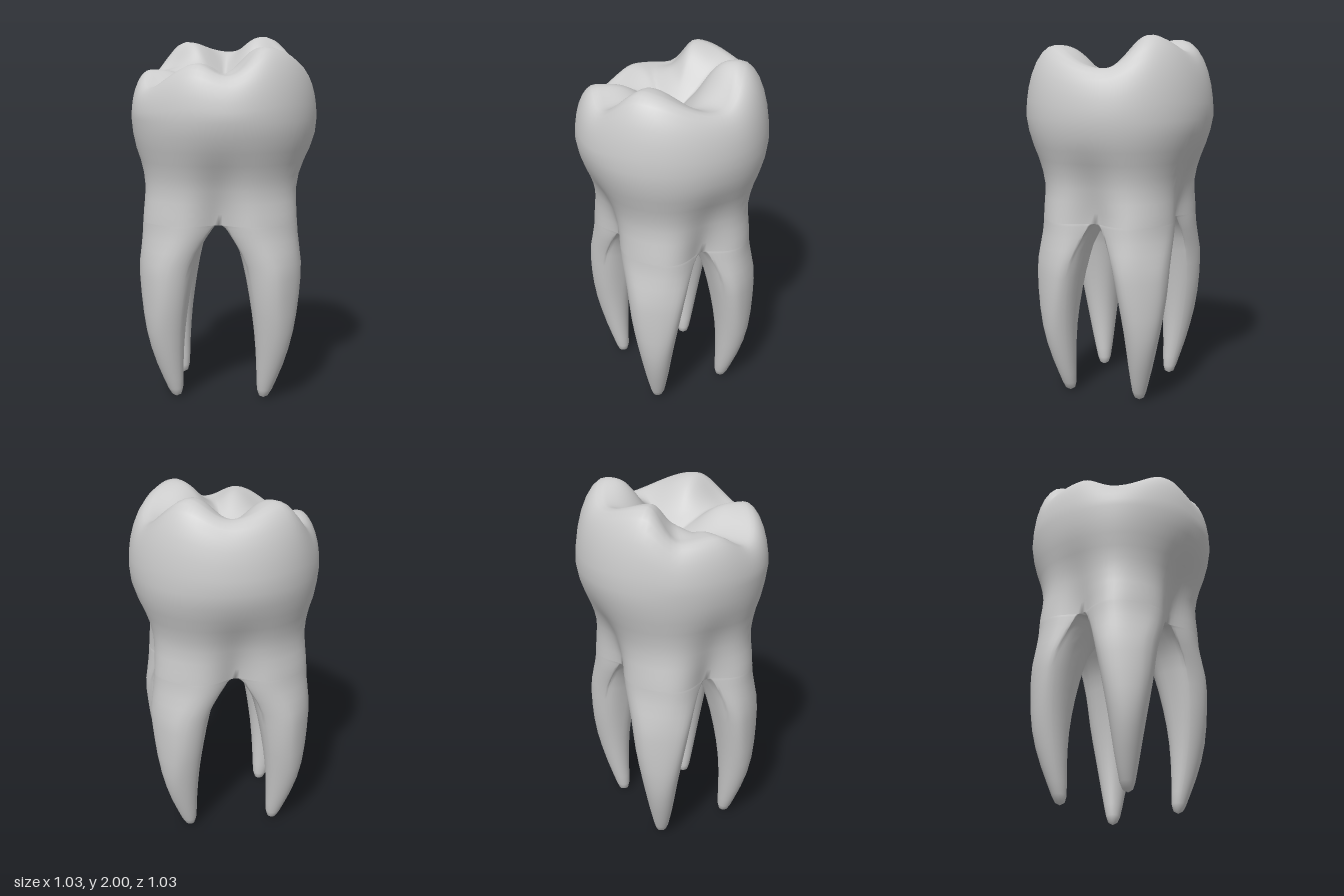
import * as THREE from 'three';
import { mergeVertices } from 'three/addons/utils/BufferGeometryUtils.js';

const Q = 24;              // steps around each quarter of the crown
const N = Q * 4;
const RAD = Math.PI / 180;
const { lerp, smoothstep } = THREE.MathUtils;
const V = (x, y, z) => new THREE.Vector3(x, y, z);

// crown wall, neck upwards: y, half width, half depth, squareness, groove, x shift
const WALL = [
  [1.0, 0.458, 0.396, 2.6, 0.2, -0.014],
  [1.06, 0.452, 0.394, 2.6, 0.17, -0.014],
  [1.12, 0.446, 0.394, 2.5, 0.13, -0.013],
  [1.19, 0.442, 0.398, 2.4, 0.09, -0.012],
  [1.26, 0.448, 0.414, 2.35, 0.06, -0.01],
  [1.33, 0.465, 0.44, 2.25, 0.03, -0.007],
  [1.4, 0.488, 0.469, 2.2, 0.01, -0.004],
  [1.48, 0.506, 0.497, 2.14, 0, 0],
  [1.56, 0.514, 0.515, 2.1, 0, 0],
];

// rim height by angle (0 = left side, 90 = front): cusps and the valleys between
const RIM = [
  [-10, 1.83], [50, 1.945], [85, 1.8], [108, 1.86], [150, 1.73],
  [178, 1.82], [203, 1.81], [229, 1.97], [272, 1.915], [309, 2.0], [350, 1.83],
];

// cusps: x, z, peak height
const PIT = 1.67;
const CUSPS = [
  [0.24, -0.27, 2.0], [-0.24, -0.27, 1.97], [0.25, 0.3, 1.945],
  [-0.12, 0.34, 1.86], [-0.41, 0.02, 1.82],
];

// root limits from the fork to the tip: y, inner x, outer x, inner z, outer z
const ROOT = [
  [0.993, 0.035, 0.445, 0.025, 0.383],
  [0.98, 0.045, 0.445, 0.035, 0.382],
  [0.95, 0.066, 0.446, 0.046, 0.381],
  [0.91, 0.085, 0.449, 0.058, 0.381],
  [0.85, 0.108, 0.456, 0.074, 0.382],
  [0.78, 0.127, 0.462, 0.09, 0.384],
  [0.7, 0.145, 0.459, 0.107, 0.383],
  [0.6, 0.163, 0.447, 0.125, 0.376],
  [0.5, 0.178, 0.43, 0.14, 0.362],
  [0.4, 0.19, 0.408, 0.152, 0.343],
  [0.3, 0.198, 0.382, 0.16, 0.321],
  [0.2, 0.203, 0.351, 0.166, 0.296],
  [0.11, 0.205, 0.316, 0.171, 0.27],
  [0.05, 0.208, 0.291, 0.175, 0.252],
  [0.015, 0.218, 0.27, 0.185, 0.238],
  [0, 0.243, 0.244, 0.211, 0.212],
];

function wallPoint([y, ax, az, n, groove, ox], a) {
  const c = Math.cos(a), s = Math.sin(a);
  let r = (Math.abs(c / ax) ** n + Math.abs(s / az) ** n) ** (-1 / n);
  r *= 1 - groove * Math.cos(2 * a) ** 6;
  return V(ox + r * c, y, r * s);
}

function rimHeight(a) {
  let deg = a / RAD;
  if (deg >= 350) deg -= 360;
  const i = RIM.findIndex((k) => k[0] > deg);
  const [a0, h0] = RIM[i - 1], [a1, h1] = RIM[i];
  const t = (deg - a0) / (a1 - a0);
  return lerp(h0, h1, (1 - Math.cos(Math.PI * t)) / 2);
}

// highest of the cusp hills; fissures form where two hills meet
function hillHeight(x, z) {
  return Math.max(...CUSPS.map(([cx, cz, peak]) => {
    const d = Math.hypot(x - cx, z - cz) / Math.hypot(cx, cz);
    return peak - (peak - PIT) * d ** 1.4;
  }));
}

const ring = (fn) => Array.from({ length: N }, (_, j) => fn((j / N) * 2 * Math.PI));

function crownRings() {
  const rings = WALL.map((row) => ring((a) => wallPoint(row, a)));
  const top = WALL[WALL.length - 1];
  const rimRadius = (h) => 0.35 + (2 - h) * 0.32;
  // shoulder curving over to the rim
  for (let i = 1; i <= 7; i++) {
    const phi = (i / 7) * Math.PI / 2;
    rings.push(ring((a) => {
      const h = rimHeight(a), rho = rimRadius(h), p = wallPoint(top, a);
      const r = lerp(rho, Math.hypot(p.x, p.z), Math.cos(phi));
      return V(r * Math.cos(a), lerp(top[0], h, Math.sin(phi)), r * Math.sin(a));
    }));
  }
  // chewing surface sinking to the central pit
  const steps = 18;
  for (let i = 1; i <= steps; i++) {
    const s = 1 - i / steps;
    rings.push(ring((a) => {
      const h = rimHeight(a), r = rimRadius(h) * s;
      const x = r * Math.cos(a), z = r * Math.sin(a);
      const y = lerp(hillHeight(x, z), h, smoothstep(s, 0.3, 1));
      return V(x, y, z - 0.02 * (1 - s));
    }));
  }
  return rings;
}

function rootRings(q) {
  const start = [], edge = 8, fork = V(-0.014, 1.015, 0);
  const at = (j) => wallPoint(WALL[0], ((j % N) / N) * 2 * Math.PI);
  const from = q * Q, to = from + Q;
  // first section: a quarter of the neck, closed along the fork lines
  for (let j = from; j <= to; j++) start.push(at(j));
  for (let k = 1; k <= edge; k++) start.push(at(to).lerp(fork, k / edge));
  for (let k = edge - 1; k >= 1; k--) start.push(at(from).lerp(fork, k / edge));

  const sx = q === 0 || q === 3 ? 1 : -1, sz = q < 2 ? 1 : -1;
  const angles = start.map((p) => Math.atan2((p.z - sz * 0.18) / 0.18, (p.x + 0.014 - sx * 0.2) / 0.2));
  const rings = [start];
  for (const [y, xi, xo, zi, zo] of ROOT) {
    const u = Math.min((1 - y) / 0.16, 1);
    const arch = Math.sqrt(u * (2 - u));            // rounds the fork between the roots
    const flow = 1 - smoothstep(y, 0.72, 1);        // eases the outside out of the neck
    const power = lerp(1, 0.8, smoothstep(y, 0.2, 0.8));
    const bulge = (t) => Math.sign(t) * Math.abs(t) ** power;
    rings.push(start.map((p, j) => {
      let x = sx * (xi + xo) / 2 + bulge(Math.cos(angles[j])) * (xo - xi) / 2;
      let z = sz * (zi + zo) / 2 + bulge(Math.sin(angles[j])) * (zo - zi) / 2;
      // flatten the outer corner so it stays under the crown
      const r = Math.hypot(x, z);
      const k = r > 0.45 ? (0.45 + 0.05 * Math.tanh((r - 0.45) / 0.05)) / r : 1;
      x = x * k - 0.012;
      z *= k;
      const outside = j < Q ? Math.sqrt(Math.sin((j / Q) * Math.PI)) : 0;
      const w = lerp(arch, flow, outside);
      return V(lerp(p.x, x, w), lerp(p.y, y, Math.min(1, u * 6)), lerp(p.z, z, w));
    }));
  }
  return rings;
}

function skin(out, rings) {
  for (let i = 0; i < rings.length - 1; i++) {
    const lo = rings[i], hi = rings[i + 1], n = lo.length;
    for (let j = 0; j < n; j++) {
      const k = (j + 1) % n;
      for (const p of [lo[j], hi[j], lo[k], lo[k], hi[j], hi[k]]) out.push(p.x, p.y, p.z);
    }
  }
}

export function createModel() {
  const group = new THREE.Group();
  group.name = 'molarTooth';
  const material = new THREE.MeshStandardMaterial({ color: 0xcccccc });

  // all parts share one welded skin so the shading flows across the neck
  const points = [], parts = [];
  const addPart = (name, rings) => {
    const first = points.length / 3;
    skin(points, rings);
    parts.push({ name, first, last: points.length / 3 });
  };
  addPart('crown', crownRings());
  ['frontLeftRoot', 'frontRightRoot', 'backRightRoot', 'backLeftRoot']
    .forEach((name, q) => addPart(name, rootRings(q).reverse()));

  const raw = new THREE.BufferGeometry();
  raw.setAttribute('position', new THREE.Float32BufferAttribute(points, 3));
  const welded = mergeVertices(raw, 1e-4);
  welded.computeVertexNormals();

  for (const { name, first, last } of parts) {
    const geometry = new THREE.BufferGeometry();
    geometry.setAttribute('position', welded.attributes.position);
    geometry.setAttribute('normal', welded.attributes.normal);
    geometry.setIndex(Array.from(welded.index.array.slice(first, last)));
    const mesh = new THREE.Mesh(geometry, material);
    mesh.name = name;
    group.add(mesh);
  }
  return group;
}
